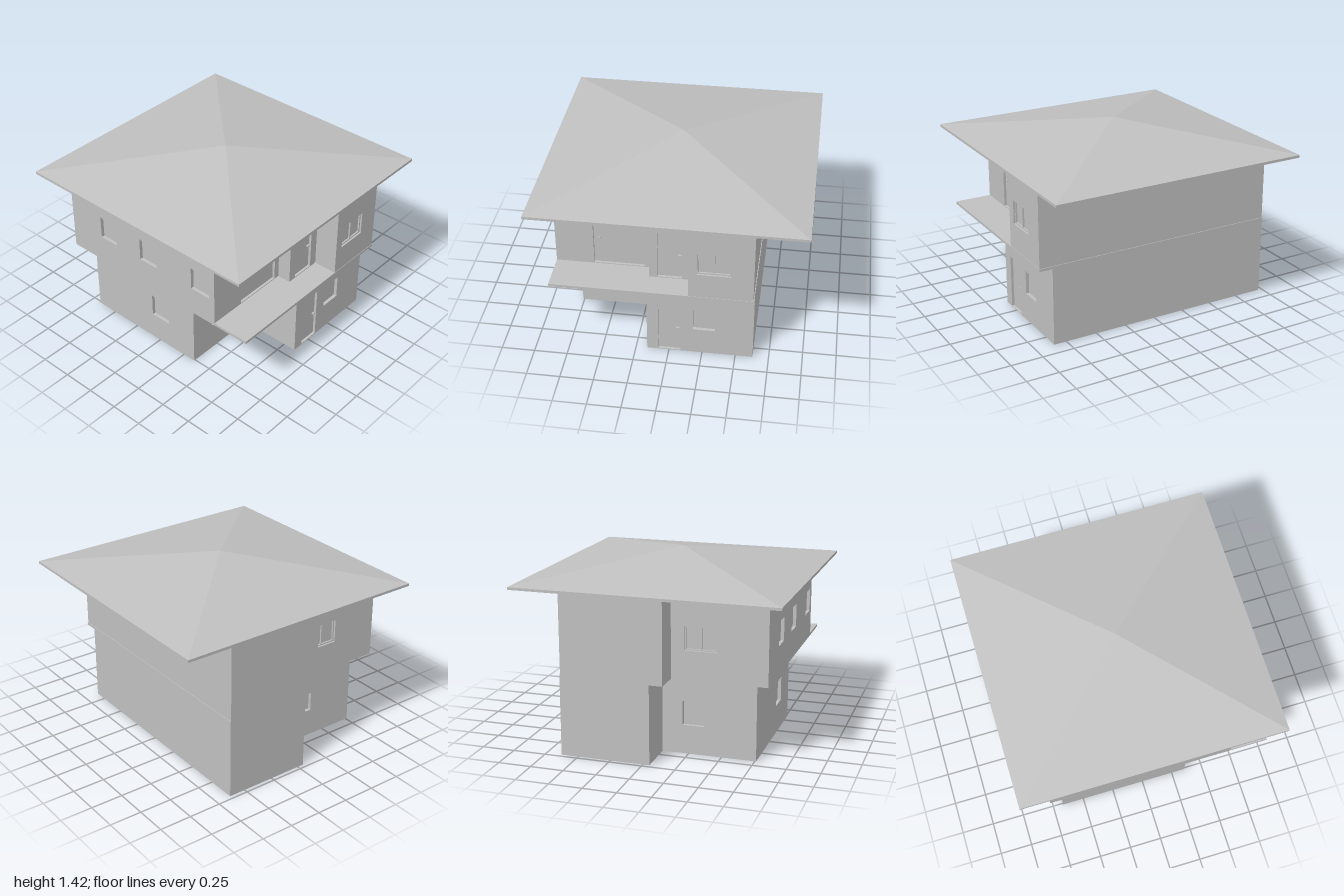
import * as THREE from 'three';

const WALL = 0.03; // wall thickness, also the depth of the openings

export function createModel() {
  const house = new THREE.Group();
  house.name = 'house';
  const plaster = new THREE.MeshStandardMaterial({ color: 0xc0c0c0, flatShading: true });
  plaster.name = 'plaster grey';

  function add(parent, name, geometry) {
    const mesh = new THREE.Mesh(geometry, plaster);
    mesh.name = name;
    parent.add(mesh);
    return mesh;
  }

  function box(parent, name, w, h, d, x, y, z) {
    return add(parent, name, new THREE.BoxGeometry(w, h, d)).position.set(x, y, z);
  }

  const rect = (Type, x0, y0, x1, y1) =>
    new Type([[x0, y0], [x1, y0], [x1, y1], [x0, y1]].map(p => new THREE.Vector2(...p)));

  // Horizontal slab over a footprint of [x, z] points
  function slab(name, footprint, y0, y1) {
    const shape = new THREE.Shape(footprint.map(([x, z]) => new THREE.Vector2(x, -z)));
    const g = new THREE.ExtrudeGeometry(shape, { depth: y1 - y0, bevelEnabled: false });
    g.rotateX(-Math.PI / 2).translate(0, y0, 0);
    add(house, name, g);
  }

  // Recessed filling of one opening, in the wall's own frame (z points outwards)
  function fill(wall, kind, u0, u1, y0, y1) {
    const w = u1 - u0, h = y1 - y0, u = (u0 + u1) / 2, y = (y0 + y1) / 2;
    const isDoor = kind === 'door' || kind === 'slidingDoor';
    const depth = isDoor ? -0.02 : -WALL + 0.004;
    box(wall, isDoor ? kind : 'windowPane', w, h, 0.008, u, y, depth - 0.004);
    if (kind === 'door') box(wall, 'doorHandle', 0.025, 0.008, 0.016, u1 - 0.02, y0 + h * 0.5, depth + 0.008);
    if (kind === 'slidingDoor') box(wall, 'doorHandle', 0.02, 0.008, 0.012, u0 + 0.04, y0 + h * 0.57, depth + 0.006);
    if (kind === 'doubleWindow') {
      const f = 0.01, z = depth + 0.006;
      for (const s of [-1, 1]) {
        box(wall, 'windowFrameSide', f, h, 0.012, u + s * (w - f) / 2, y, z);
        box(wall, 'windowFrameRail', w, f, 0.012, u, y + s * (h - f) / 2, z);
      }
      box(wall, 'windowMullion', f, h, 0.012, u, y, z);
    }
  }

  // Walls around a footprint; openings are [wall index, kind, from, to, y0, y1] from the wall's start
  function storey(name, footprint, y0, y1, openings) {
    const group = new THREE.Group();
    group.name = name;
    house.add(group);
    footprint.forEach(([x, z], i) => {
      const [nx, nz] = footprint[(i + 1) % footprint.length];
      const length = Math.hypot(nx - x, nz - z);
      const wall = new THREE.Group();
      wall.name = name + 'Wall';
      wall.position.set(x, 0, z);
      wall.rotation.y = Math.atan2(z - nz, nx - x);
      group.add(wall);

      const shape = rect(THREE.Shape, 0, y0, length, y1);
      for (const [index, kind, from, to, b, t] of openings) {
        if (index !== i) continue;
        const horizontal = Math.abs(nx - x) > Math.abs(nz - z);
        const start = horizontal ? x : z;
        const [u0, u1] = [from, to].map(c => Math.abs(c - start)).sort((p, q) => p - q);
        shape.holes.push(rect(THREE.Path, u0, b, u1, t));
        fill(wall, kind, u0, u1, b, t);
      }
      const g = new THREE.ExtrudeGeometry(shape, { depth: WALL, bevelEnabled: false });
      add(wall, 'wallPanel', g.translate(0, 0, -WALL));
    });
  }

  // Ground floor, with one recess at the front and one at the back
  const ground = [[-0.76, 0.356], [-0.165, 0.356], [-0.165, 0.85], [0.63, 0.85],
    [0.63, -0.97], [-0.05, -0.97], [-0.05, -0.67], [-0.76, -0.67]];
  slab('groundSlab', ground, 0, 0.005);
  storey('groundFloor', ground, 0, 0.6, [
    [0, 'window', -0.56, -0.315, 0.22, 0.405],
    [2, 'door', -0.08, 0.087, 0.006, 0.42],
    [2, 'window', 0.18, 0.345, 0.22, 0.405],
    [6, 'window', -0.205, -0.37, 0.22, 0.405],
    [7, 'window', -0.07, 0.1, 0.22, 0.405],
  ]);

  // Upper floor slab, reaching out as the balcony
  slab('balconySlab', [[-0.865, 0.953], [0.63, 0.953], [0.63, -0.97],
    [-0.15, -0.97], [-0.15, -0.775], [-0.865, -0.775]], 0.6, 0.62);

  // Upper floor
  const upper = [[-0.865, 0.66], [-0.155, 0.66], [-0.155, 0.766], [0.155, 0.766], [0.155, 0.95],
    [0.625, 0.95], [0.625, -0.97], [-0.15, -0.97], [-0.15, -0.775], [-0.865, -0.775]];
  storey('upperFloor', upper, 0.62, 1.22, [
    [0, 'slidingDoor', -0.58, -0.2, 0.626, 1.015],
    [2, 'door', -0.09, 0.09, 0.626, 1.02],
    [4, 'doubleWindow', 0.22, 0.46, 0.82, 1.0],
    [8, 'doubleWindow', -0.25, -0.49, 0.82, 1.0],
    [9, 'window', -0.47, -0.31, 0.82, 1.0],
    [9, 'window', -0.065, 0.1, 0.82, 1.0],
    [9, 'window', 0.44, 0.61, 0.82, 1.0],
  ]);
  slab('ceiling', upper, 1.21, 1.22);

  // Pyramid roof with a thin eave and a sloping underside
  const r = Math.SQRT2;
  const profile = [[0, 1.396], [r, 1.22], [r, 1.24], [0, 1.416]].map(p => new THREE.Vector2(...p));
  const roof = new THREE.LatheGeometry(profile, 4, Math.PI / 4).toNonIndexed();
  roof.computeVertexNormals();
  add(house, 'roof', roof);

  return house;
}
